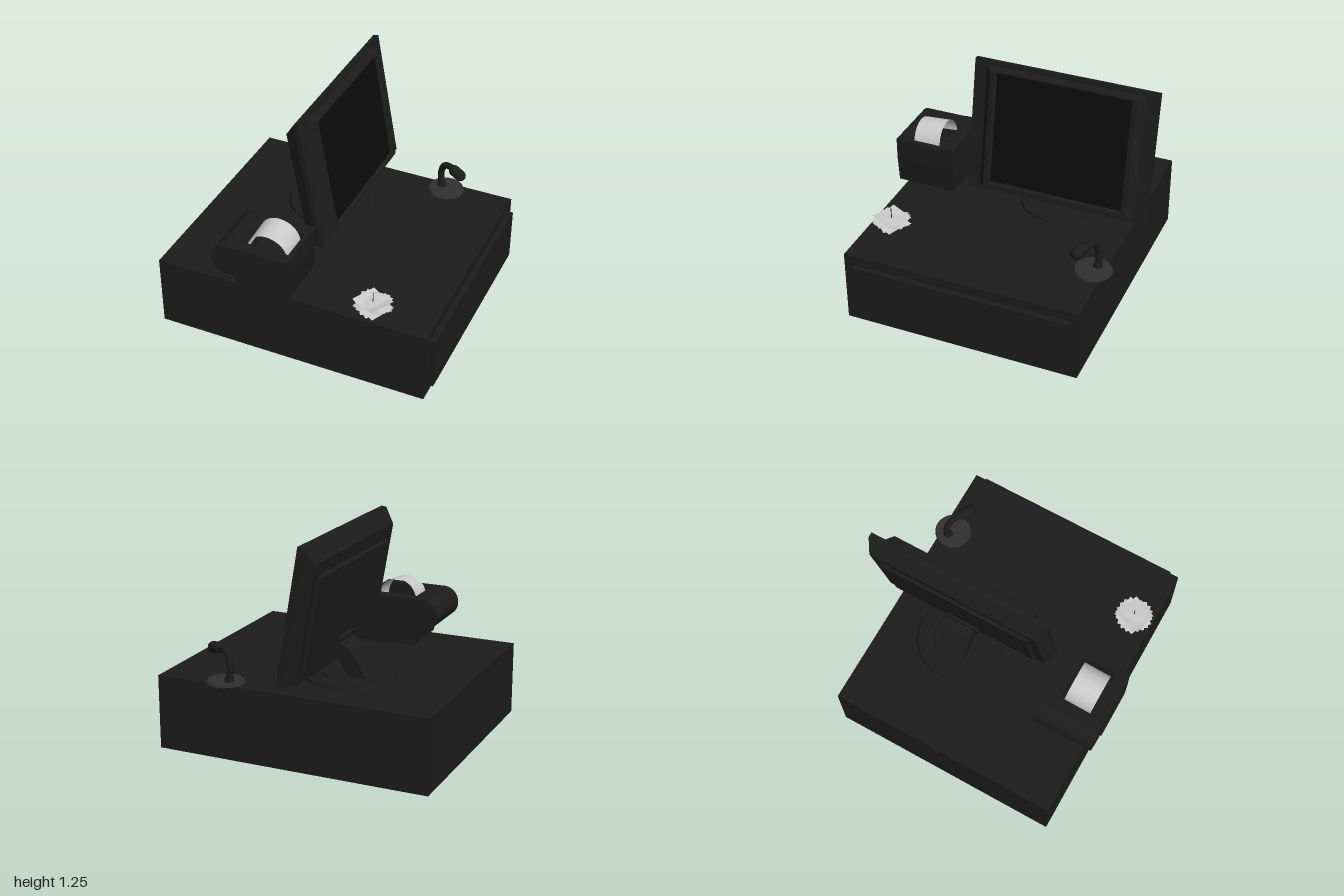
import * as THREE from 'three';

const paint = (color, extra = {}) => new THREE.MeshStandardMaterial({ color, ...extra });
const black = paint(0x1c1c1c);
const darker = paint(0x0c0c0c);
const charcoal = paint(0x303030);
const paper = paint(0xcccccc, { side: THREE.DoubleSide });

function add(parent, name, geometry, material, x = 0, y = 0, z = 0) {
  const mesh = new THREE.Mesh(geometry, material);
  mesh.name = name;
  mesh.position.set(x, y, z);
  parent.add(mesh);
  return mesh;
}

// Flat-sided solid lofted along x through rectangles [x, y0, y1, z0, z1]
function loft(rects) {
  const rings = rects.map(([x, y0, y1, z0, z1]) => [[x, y0, z0], [x, y1, z0], [x, y1, z1], [x, y0, z1]]);
  const points = [];
  const quad = (a, b, c, d) => points.push(...a, ...b, ...c, ...a, ...c, ...d);
  quad(...[...rings[0]].reverse());
  for (let i = 0; i < rings.length - 1; i++) {
    for (let j = 0; j < 4; j++) {
      const k = (j + 1) % 4;
      quad(rings[i][j], rings[i][k], rings[i + 1][k], rings[i + 1][j]);
    }
  }
  quad(...rings[rings.length - 1]);
  const geometry = new THREE.BufferGeometry();
  geometry.setAttribute('position', new THREE.Float32BufferAttribute(points, 3));
  geometry.computeVertexNormals();
  return geometry;
}

function makeMonitor() {
  const monitor = new THREE.Group();
  monitor.name = 'monitor';
  // Rear cover, bevel, slab, raised bezel and recess, from back to front
  add(monitor, 'monitorHousing', loft([
    [-0.115, 0.09, 0.607, -0.44, 0.44],
    [-0.098, 0.08, 0.617, -0.45, 0.45],
    [-0.098, 0.02, 0.688, -0.5, 0.5],
    [-0.03, 0, 0.762, -0.528, 0.528],
    [0, 0, 0.762, -0.528, 0.528],
    [0, 0.025, 0.735, -0.455, 0.455],
    [0.045, 0.04, 0.722, -0.42, 0.42],
    [0.045, 0.058, 0.714, -0.395, 0.395],
    [0.028, 0.068, 0.706, -0.383, 0.383],
  ]), black);
  add(monitor, 'screen', new THREE.BoxGeometry(0.004, 0.638, 0.766), darker, 0.028, 0.387, 0);
  monitor.position.set(0.022, 0.5, -0.242);
  monitor.rotation.z = 0.175;
  return monitor;
}

function makeStand() {
  const stand = new THREE.Group();
  stand.name = 'monitorStand';
  add(stand, 'standFoot', new THREE.CylinderGeometry(0.245, 0.252, 0.016, 40), black, 0, 0.428, 0);
  add(stand, 'standCollar', new THREE.CylinderGeometry(0.15, 0.155, 0.008, 32), black, 0, 0.438, 0);
  // Slanted neck
  const neck = new THREE.Shape([[-0.14, 0.43], [-0.03, 0.43], [0.07, 0.6], [0.04, 0.63], [-0.03, 0.6]]
    .map(([x, y]) => new THREE.Vector2(x, y)));
  add(stand, 'standNeck', new THREE.ExtrudeGeometry(neck, { depth: 0.16, bevelEnabled: false }), black, 0, 0, -0.08);
  // Pivot block on the back of the monitor
  add(stand, 'pivot', new THREE.BoxGeometry(0.07, 0.12, 0.2), black, 0.06, 0.6, 0).rotation.z = 0.175;
  stand.position.set(-0.155, 0, -0.237);
  return stand;
}

function printerProfile(notched) {
  const shape = new THREE.Shape();
  shape.moveTo(0.008, 0.42);
  shape.lineTo(0.025, 0.58);
  shape.lineTo(0.025, 0.7);
  if (notched) {
    shape.lineTo(0, 0.7);
    shape.lineTo(-0.02, 0.6);
    shape.lineTo(-0.245, 0.6);
    shape.lineTo(-0.265, 0.7);
  }
  shape.lineTo(-0.33, 0.7);
  shape.absarc(-0.33, 0.61, 0.09, Math.PI / 2, Math.PI * 1.5, false);
  shape.lineTo(-0.285, 0.52);
  shape.lineTo(-0.27, 0.42);
  return shape;
}

function makePrinter() {
  const printer = new THREE.Group();
  printer.name = 'receiptPrinter';
  // Two side walls around a middle with the roll well
  for (const [name, start, end] of [['printerSide', 0.38, 0.455], ['printerMiddle', 0.455, 0.655], ['printerSide', 0.655, 0.728]]) {
    const shape = printerProfile(name === 'printerMiddle');
    const options = { depth: end - start, bevelEnabled: false, curveSegments: 20 };
    add(printer, name, new THREE.ExtrudeGeometry(shape, options), black, 0, 0, start);
  }
  // Open paper curl rising from the well
  const curl = new THREE.CylinderGeometry(0.118, 0.118, 0.16, 28, 1, true, Math.PI / 2, Math.PI);
  curl.rotateZ(Math.PI / 2).rotateY(Math.PI / 2);
  curl.computeBoundingBox();
  if (curl.boundingBox.max.y < 0.05) curl.rotateZ(Math.PI);
  else if (curl.boundingBox.min.y < -0.05) curl.rotateZ(curl.boundingBox.max.x > 0.05 ? Math.PI / 2 : -Math.PI / 2);
  add(printer, 'paperRoll', curl, paper, -0.133, 0.655, 0.555).rotation.x = 0.08;
  return printer;
}

function makeMicrophone() {
  const mic = new THREE.Group();
  mic.name = 'microphone';
  add(mic, 'microphoneFoot', new THREE.CylinderGeometry(0.1, 0.105, 0.012, 32), charcoal, 0.11, 0.426, -0.725);
  const path = new THREE.CatmullRomCurve3([
    [0.075, 0.43, -0.725], [0.068, 0.52, -0.722], [0.095, 0.582, -0.719], [0.15, 0.6, -0.716], [0.2, 0.592, -0.713],
  ].map((p) => new THREE.Vector3(...p)));
  add(mic, 'gooseneck', new THREE.TubeGeometry(path, 24, 0.019, 12), black);
  add(mic, 'neckSocket', new THREE.CylinderGeometry(0.022, 0.028, 0.03, 16), black, 0.075, 0.445, -0.725);
  const head = add(mic, 'microphoneHead', new THREE.CapsuleGeometry(0.032, 0.05, 6, 16), black, 0.205, 0.588, -0.713);
  head.rotation.z = Math.PI / 2 - 0.2;
  return mic;
}

function makeSpike() {
  const spike = new THREE.Group();
  spike.name = 'receiptSpike';
  add(spike, 'spikeFoot', new THREE.CylinderGeometry(0.06, 0.06, 0.008, 20), charcoal, 0, 0.424, 0);
  add(spike, 'spikeRod', new THREE.CylinderGeometry(0.002, 0.003, 0.105, 6), black, 0, 0.475, 0);
  // Slightly curled slips, each turned a little further
  for (let i = 0; i < 7; i++) {
    const slip = new THREE.PlaneGeometry(0.155, 0.155, 6, 6).rotateX(-Math.PI / 2);
    const p = slip.attributes.position;
    for (let k = 0; k < p.count; k++) {
      const x = p.getX(k), z = p.getZ(k);
      p.setY(k, 2.2 * x * x * (i % 2 ? 1 : -0.6) + 0.06 * z * Math.sin(i * 2.1));
    }
    slip.computeVertexNormals();
    add(spike, 'paperSlip', slip, paper, 0, 0.438 + i * 0.005, 0).rotation.y = i * 0.63;
  }
  spike.position.set(0.637, 0, 0.322);
  return spike;
}

export function createModel() {
  const model = new THREE.Group();
  model.name = 'cashRegister';

  const register = new THREE.Group();
  register.name = 'register';
  register.rotation.y = 0.433;
  model.add(register);

  // Cash drawer with a raised front panel
  add(register, 'drawerCase', new THREE.BoxGeometry(1.575, 0.42, 1.346), black, 0, 0.21, 0);
  add(register, 'drawerFront', loft([
    [0.78, 0.055, 0.365, -0.625, 0.615],
    [0.818, 0.055, 0.365, -0.625, 0.615],
  ]), black);
  register.add(makeStand(), makeMonitor(), makePrinter());

  model.add(makeMicrophone(), makeSpike());
  return model;
}
